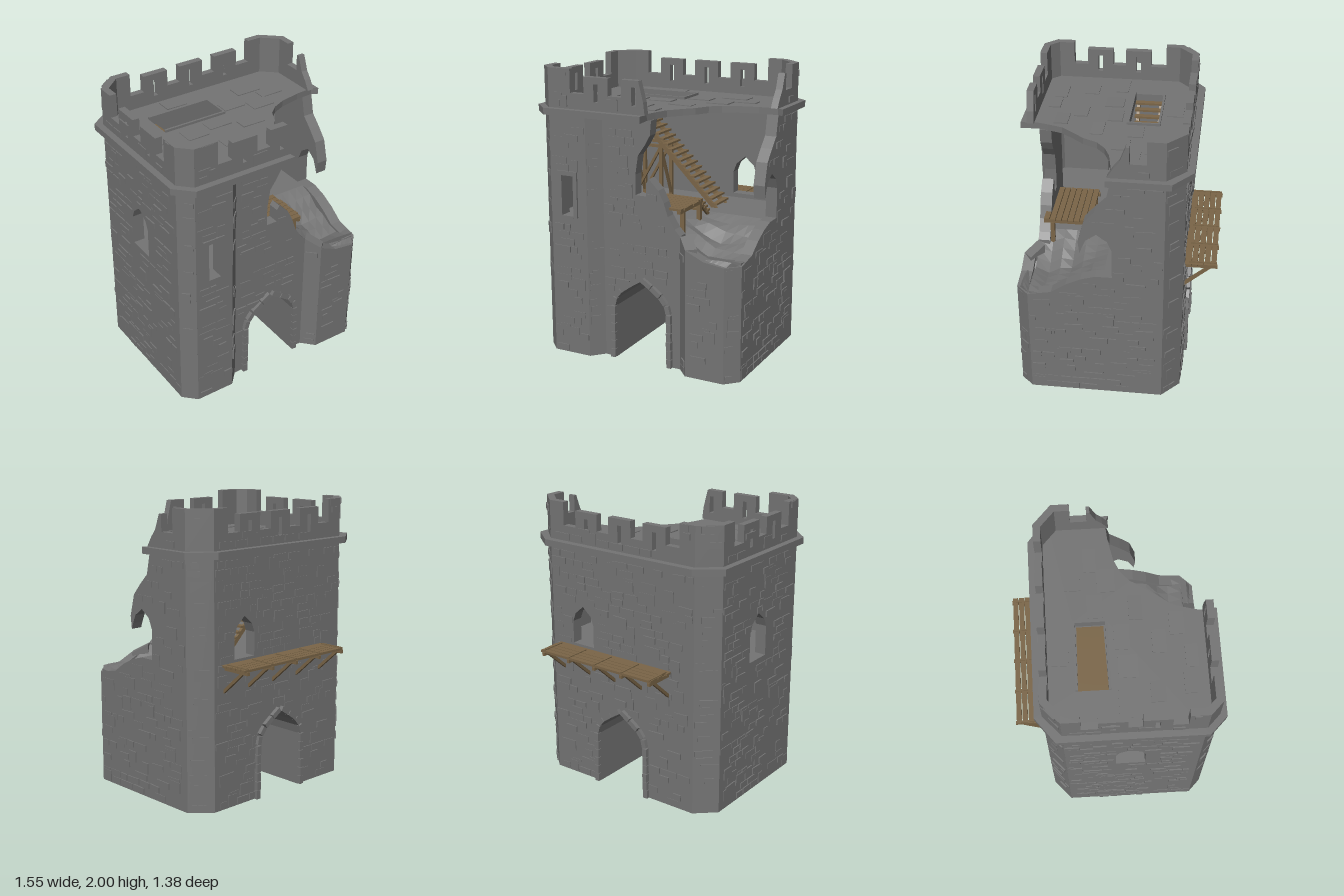
import * as THREE from 'three';
import { mergeGeometries } from 'three/addons/utils/BufferGeometryUtils.js';

const stone = new THREE.MeshStandardMaterial({ color: 0x747474 });
stone.name = 'grey stone';
const wood = new THREE.MeshStandardMaterial({ color: 0x7a6547 });
wood.name = 'brown wood';

let seed = 7;
const rnd = () => (seed = (seed * 16807) % 2147483647) / 2147483647;

function add(parent, name, geo, mat = stone) {
  const m = new THREE.Mesh(geo, mat);
  m.name = name;
  parent.add(m);
  return m;
}
const toShape = pts => new THREE.Shape(pts.map(p => new THREE.Vector2(p[0], p[1])));
const extrude = (shape, depth) => new THREE.ExtrudeGeometry(shape, { depth, bevelEnabled: false });
const box = (x0, x1, y0, y1, z0, z1) => new THREE.BoxGeometry(x1 - x0, y1 - y0, z1 - z0)
  .translate((x0 + x1) / 2, (y0 + y1) / 2, (z0 + z1) / 2);
const rect = (a, b, y0, y1) => [[a, y0], [b, y0], [b, y1], [a, y1]];

// Horizontal slab or block from a plan of [x, z] points
function prism(pts, y0, y1, hole) {
  const s = toShape(pts.map(([x, z]) => [x, -z]));
  if (hole) s.holes.push(toShape(hole.map(([x, z]) => [x, -z])));
  return extrude(s, y1 - y0).rotateX(-Math.PI / 2).translate(0, y0, 0);
}
// Square beam between two points
function beam(a, b, w, h = w) {
  const p = new THREE.Vector3(...a), q = new THREE.Vector3(...b);
  const o = new THREE.Object3D();
  o.position.copy(p).add(q).multiplyScalar(0.5);
  o.lookAt(q);
  o.updateMatrix();
  return new THREE.BoxGeometry(w, h, p.distanceTo(q)).applyMatrix4(o.matrix);
}
function inside(pts, x, y) {
  let r = false;
  for (let i = 0, j = pts.length - 1; i < pts.length; j = i++) {
    const [xi, yi] = pts[i], [xj, yj] = pts[j];
    if (yi > y !== yj > y && x < ((xj - xi) * (y - yi)) / (yj - yi) + xi) r = !r;
  }
  return r;
}
// Wall panel from plan point a to b with scattered raised stones on its outer face.
// Outlines use world x or z along the wall, or distance from a on slanted walls.
function wall(parent, name, a, b, outline, holes = [], thick = 0.08) {
  const dx = b[0] - a[0], dz = b[1] - a[1], len = Math.hypot(dx, dz);
  const conv = ([c, y]) => [dz === 0 ? (c - a[0]) * Math.sign(dx) : dx === 0 ? (c - a[1]) * Math.sign(dz) : c, y];
  const pts = outline.map(conv), cut = holes.map(h => h.map(conv));
  const shape = toShape(pts);
  cut.forEach(h => shape.holes.push(toShape(h)));
  const g = new THREE.Group();
  g.position.set(a[0], 0, a[1]);
  g.rotation.y = -Math.atan2(dz, dx);
  parent.add(g);
  add(g, name, extrude(shape, thick).translate(0, 0, -thick));
  const top = Math.max(...pts.map(p => p[1])), bottom = Math.min(...pts.map(p => p[1]));
  const bricks = [];
  for (let y = bottom + 0.01; y < top; y += 0.052) {
    for (let u = rnd() * 0.05; u < len;) {
      const w = 0.05 + rnd() * 0.09, h = rnd() < 0.2 ? 0.08 : 0.046, d = 0.003 + rnd() * 0.007;
      const test = [[0, 0], [w, 0], [w, h], [0, h], [w / 2, h / 2], [w / 2, 0], [w / 2, h]];
      const ok = test.every(([p, q]) => inside(pts, u + p, y + q) && !cut.some(c => inside(c, u + p, y + q)));
      if (ok && rnd() < 0.5) {
        bricks.push(new THREE.BoxGeometry(w - 0.008, h - 0.004, 0.02).rotateZ((rnd() - 0.5) * 0.08)
          .translate(u + w / 2, y + h / 2, d - 0.01));
      }
      u += w + 0.004;
    }
  }
  if (bricks.length) add(g, name + 'Stones', mergeGeometries(bricks));
}

const archHalf = [[0.2, 0], [0.195, 0.38], [0.18, 0.44], [0.14, 0.49], [0.07, 0.54]];
const arch = [...archHalf.map(([x, y]) => [-x, y]), [0, 0.585], ...[...archHalf].reverse()];
const pointed = (c, w, y0, y1) => [[c - w, y0], [c + w, y0], [c + w, y1 - 0.12], [c + w * 0.75, y1 - 0.06],
  [c, y1], [c - w * 0.75, y1 - 0.06], [c - w, y1 - 0.12]];

function buildWalls(g) {
  const T = 1.69, full = l => rect(0, l, 0, T);
  wall(g, 'frontLeftCorner', [-0.735, 0.56], [-0.65, 0.645], full(0.12));
  wall(g, 'frontTurret', [-0.65, 0.645], [-0.37, 0.645], rect(-0.65, -0.37, 0, T), [rect(-0.56, -0.47, 1, 1.28)]);
  wall(g, 'turretReturn', [-0.37, 0.645], [-0.29, 0.56], full(0.117));
  // Broken front wall over the gate
  wall(g, 'frontWall', [-0.29, 0.56], [0.29, 0.56], [[-0.29, 0], ...arch, [0.29, 0], [0.29, 0.94], [0.25, 0.98],
    [0.2, 1.06], [0.17, 1.15], [0.13, 1.23], [0.06, 1.3], [0.04, 1.27], [0.04, 1.18], [-0.04, 1.18], [-0.04, 1.32],
    [-0.02, 1.45], [0.03, 1.52], [0.07, 1.59], [0.08, T], [-0.29, T]]);
  wall(g, 'brokenReturn', [0.29, 0.56], [0.37, 0.645], [[0, 0], [0.117, 0], [0.117, 0.88], [0, 0.94]]);
  wall(g, 'brokenTurret', [0.37, 0.645], [0.65, 0.645], [[0.37, 0], [0.65, 0], [0.65, 0.8], [0.5, 0.82], [0.37, 0.88]]);
  wall(g, 'brokenCorner', [0.65, 0.645], [0.735, 0.56], rect(0, 0.12, 0, 0.8));
  // Broken side wall hooking over its window
  wall(g, 'rightWall', [0.735, 0.56], [0.735, -0.35], [[0.56, 0], [-0.35, 0], [-0.35, T], [0, T], [0.03, 1.55],
    [0.1, 1.48], [0.17, 1.4], [0.21, 1.25], [0.2, 1.16], [0.185, 1.2], [0.16, 1.26], [0.09, 1.31], [0.02, 1.26],
    [-0.01, 1.19], [-0.01, 0.98], [0.1, 0.98], [0.2, 0.95], [0.3, 0.9], [0.4, 0.83], [0.56, 0.8]]);
  wall(g, 'backRightCorner', [0.735, -0.35], [0.6, -0.47], full(0.18));
  wall(g, 'backWall', [0.6, -0.47], [-0.6, -0.47], [[0.6, 0], ...[...arch].reverse(), [-0.6, 0], [-0.6, T], [0.6, T]],
    [pointed(0.33, 0.09, 1.01, 1.29)]);
  wall(g, 'backLeftCorner', [-0.6, -0.47], [-0.735, -0.35], full(0.18));
  wall(g, 'leftWall', [-0.735, -0.35], [-0.735, 0.56], rect(-0.35, 0.56, 0, T), [pointed(0.09, 0.1, 0.98, 1.31)]);

  // Frame of the turret window
  [[-0.6, -0.56, 0.99, 1.31], [-0.47, -0.44, 0.99, 1.31], [-0.56, -0.47, 1.28, 1.31], [-0.56, -0.47, 0.985, 1.0]]
    .forEach(([a, b, c, d]) => add(g, 'windowFrame', box(a, b, c, d, 0.62, 0.658)));
  // Stones around the two gate arches
  [0.56, -0.47].forEach(z => {
    const list = [];
    for (let i = 0; i < arch.length - 1; i++) {
      const [p, q] = [arch[i], arch[i + 1]], l = Math.hypot(q[0] - p[0], q[1] - p[1]);
      const n = Math.max(1, Math.round(l / 0.065)), ang = Math.atan2(q[1] - p[1], q[0] - p[0]);
      for (let k = 0; k < n; k++) {
        const t = (k + 0.5) / n;
        list.push(new THREE.BoxGeometry(l / n - 0.004, 0.034, 0.05 + rnd() * 0.012).translate(0, 0.017, 0).rotateZ(ang)
          .translate(p[0] + (q[0] - p[0]) * t, p[1] + (q[1] - p[1]) * t, z));
      }
    }
    add(g, 'gateArchStones', mergeGeometries(list));
  });
}

function buildBase(g) {
  add(g, 'leftBase', prism([[-0.2, 0.55], [-0.29, 0.55], [-0.37, 0.635], [-0.645, 0.635], [-0.725, 0.555],
    [-0.725, -0.345], [-0.595, -0.46], [-0.2, -0.46]], 0, 0.98));
  add(g, 'passageVault', extrude(toShape([...arch, [0.2, 0.98], [-0.2, 0.98]]), 1.01).translate(0, 0, -0.46));
  // Right base whose top falls away into rubble
  const zs = [-0.46, -0.35, -0.1, 0.05, 0.14, 0.22, 0.3, 0.38, 0.46, 0.55, 0.55, 0.6, 0.635];
  const n = zs.length - 1, nx = 8;
  let geo = new THREE.BoxGeometry(1, 1, 1, nx, 1, n);
  const p = geo.attributes.position, clamp = THREE.MathUtils.clamp;
  for (let i = 0; i < p.count; i++) {
    const j = Math.round((p.getZ(i) + 0.5) * n), u = p.getX(i) + 0.5, z = zs[j];
    const x0 = j > 9 ? 0.29 + (z - 0.55) * 0.94 : 0.2;
    const x1 = 0.725 - Math.max(0, z - 0.555) - Math.max(0, -0.345 - z) * 1.13;
    const x = x0 + (x1 - x0) * u;
    const t = clamp((x - 0.2) / 0.25, 0, 1) * clamp((z - 0.06) / 0.33, 0, 1);
    const h = Math.sin(u * 8 * 12.9 + j * 78.2) * 0.022;
    p.setXYZ(i, x, p.getY(i) < 0 ? 0 : 0.98 - 0.17 * t + h * Math.min(1, t * 3), z);
  }
  geo = geo.toNonIndexed();
  geo.computeVertexNormals();
  add(g, 'rubbleBase', geo);
}

function buildRoof(g) {
  // Roof floor and cornice with the corner broken off
  add(g, 'roofFloor', prism([[-0.78, -0.39], [-0.61, -0.52], [0.61, -0.52], [0.775, -0.39], [0.775, 0.025], [0.73, 0.0],
    [0.6, 0.01], [0.45, 0.04], [0.36, 0.08], [0.29, 0.14], [0.24, 0.24], [0.18, 0.31], [0.11, 0.4], [0.08, 0.5],
    [0.06, 0.58], [0.07, 0.69], [-0.665, 0.69], [-0.78, 0.575]], 1.69, 1.735, rect(-0.45, 0.02, -0.25, -0.03)));
  [[-0.45, 0.02, -0.25, -0.235], [-0.45, 0.02, -0.04, -0.025], [0.008, 0.022, -0.25, -0.025]]
    .forEach(([a, b, c, d]) => add(g, 'hatchRim', box(a, b, 1.69, 1.752, c, d)));
  const flags = [];
  [[-0.48, 0.27], [-0.42, 0.48], [-0.3, 0.09], [-0.1, 0.06], [-0.14, 0.3], [-0.02, 0.42], [0.12, -0.1], [0.1, 0.16],
    [0.33, -0.24], [0.3, -0.02], [-0.55, 0.06], [-0.2, -0.34], [0.45, -0.12], [-0.25, 0.5]].forEach(([x, z]) =>
    flags.push(new THREE.BoxGeometry(0.13 + rnd() * 0.06, 0.016, 0.08 + rnd() * 0.06)
      .rotateZ((rnd() - 0.5) * 0.06).translate(x, 1.733, z)));
  add(g, 'flagstones', mergeGeometries(flags));

  // Battlements
  const B = 1.735, C = 1.84, M = 1.955, t = 0.048;
  const slit = c => rect(c - 0.016, c + 0.016, 1.79, 1.91);
  const merlon = (c, w) => [[c - w, C], [c - w, M], [c + w, M], [c + w, C]];
  const crenel = (a, a1, b1, b, centres) => [[b, B], [a, B], [a, 2], [a1, 2], [a1, C],
    ...centres.flatMap(c => merlon(c, 0.092)), [b1, C], [b1, 2], [b, 2]];
  const backC = [-0.283, 0, 0.283], leftC = [-0.03, 0.245];
  wall(g, 'frontParapet', [-0.65, 0.645], [0.08, 0.645], [[-0.65, B], [0.08, B], [0.07, 1.82], [0.035, M], [-0.092, M],
    [-0.092, C], [-0.191, C], [-0.191, M], [-0.375, M], [-0.375, C], [-0.48, C], [-0.48, 2], [-0.65, 2]],
    [slit(-0.283), slit(0)], t);
  wall(g, 'rightParapet', [0.735, 0.02], [0.735, -0.35], [[0.02, B], [-0.35, B], [-0.35, 2], [-0.23, 2], [-0.23, C],
    [-0.122, C], [-0.122, M], [-0.1, M], [-0.06, 1.85], [-0.02, 1.8]], [], t);
  wall(g, 'backParapet', [0.6, -0.47], [-0.6, -0.47], crenel(-0.6, -0.48, 0.48, 0.6, backC), backC.map(slit), t);
  wall(g, 'leftParapet', [-0.735, -0.35], [-0.735, 0.56], crenel(-0.35, -0.23, 0.435, 0.56, leftC), leftC.map(slit), t);
  wall(g, 'cornerParapet', [-0.735, 0.56], [-0.65, 0.645], rect(0, 0.12, B, 2), [], t);
  wall(g, 'cornerParapet', [0.735, -0.35], [0.6, -0.47], rect(0, 0.18, B, 2), [], t);
  wall(g, 'cornerParapet', [-0.6, -0.47], [-0.735, -0.35], rect(0, 0.18, B, 2), [], t);
}

function buildWood(g) {
  // Hoarding on the back wall
  for (let i = 0; i < 4; i++) {
    const z = -0.52 - i * 0.042;
    add(g, 'balconyPlank', box(-0.42 + rnd() * 0.02, 0.53 + rnd() * 0.015, 0.978, 0.994, z - 0.036, z), wood);
  }
  add(g, 'balconyPlank', box(-0.42, 0.54, 0.978, 0.992, -0.516, -0.465), wood);
  [-0.4, -0.17, 0.06, 0.285, 0.51].forEach(x => {
    add(g, 'balconyJoist', box(x - 0.01, x + 0.01, 0.957, 0.98, -0.69, -0.46), wood);
    add(g, 'balconyBrace', beam([x, 0.81, -0.465], [x, 0.965, -0.64], 0.02), wood);
    add(g, 'balconyBatten', box(x - 0.006, x + 0.006, 0.99, 1.0, -0.685, -0.5), wood);
  });

  // Long stair up to the hatch
  const n = 20, sx = 0.71 / n;
  for (let i = 0; i < n; i++) {
    const x = -0.44 + i * sx, y = 1.69 - i * sx;
    add(g, 'stairTread', box(x, x + sx + 0.004, y - 0.014, y, -0.235, -0.04), wood);
  }
  [-0.215, -0.06].forEach(z => {
    add(g, 'stairStringer', beam([-0.43, 1.655, z], [0.26, 0.965, z], 0.022, 0.03), wood);
    [[-0.4, 1.63], [-0.18, 1.41]].forEach(([x, y]) => add(g, 'stairPost', box(x - 0.012, x + 0.012, 0.97, y, z - 0.012, z + 0.012), wood));
    add(g, 'stairBrace', beam([-0.4, 1.0, z], [-0.18, 1.38, z], 0.018), wood);
    add(g, 'stairRail', beam([-0.4, 1.38, z], [-0.18, 1.38, z], 0.02), wood);
  });
  [-0.4, -0.18].forEach(x => add(g, 'stairCrossBrace', beam([x, 1.0, -0.215], [x, 1.36, -0.06], 0.018), wood));

  // Low platform behind the front wall
  for (let i = 0; i < 8; i++) {
    const z = 0.19 + i * 0.0415;
    add(g, 'platformPlank', box(-0.15, 0.275 + rnd() * 0.02, 1.095, 1.11, z, z + 0.037), wood);
  }
  [-0.12, 0.26].forEach(x => {
    add(g, 'platformBeam', box(x - 0.012, x + 0.012, 1.075, 1.097, 0.18, 0.52), wood);
    [0.215, 0.46].forEach(z => add(g, 'platformPost', box(x - 0.014, x + 0.014, 0.88, 1.08, z - 0.014, z + 0.014), wood));
  });
  for (let i = 0; i < 3; i++) {
    const z = 0.165 - i * 0.035, y = 1.08 - i * 0.033;
    add(g, 'platformStep', box(0.1, 0.28, y - 0.014, y, z - 0.01, z + 0.035), wood);
  }
  [0.11, 0.265].forEach(x => add(g, 'stepStringer', beam([x, 1.07, 0.2], [x, 0.97, 0.085], 0.015, 0.025), wood));
}

export function createModel() {
  const model = new THREE.Group();
  model.name = 'ruinedGateTower';
  [['base', buildBase], ['walls', buildWalls], ['roof', buildRoof], ['woodwork', buildWood]].forEach(([name, build]) => {
    const g = new THREE.Group();
    g.name = name;
    build(g);
    model.add(g);
  });
  return model;
}
